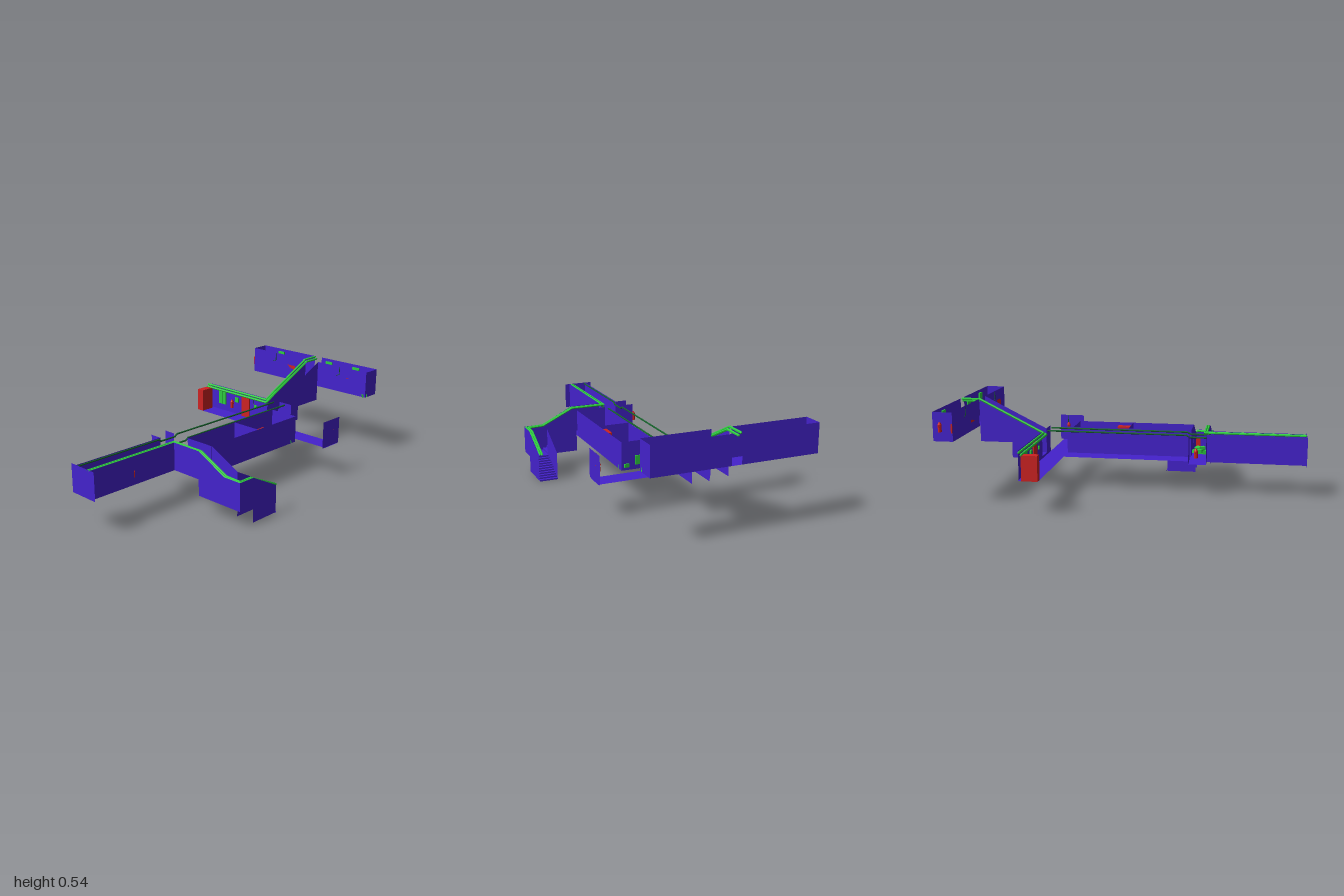
import * as THREE from 'three';

const mat = (color, side = THREE.FrontSide) => new THREE.MeshStandardMaterial({ color, side, flatShading: true });

export function createModel() {
  const root = new THREE.Group();
  const shell = mat(0x4422cc, THREE.DoubleSide);
  const green = mat(0x2ecc40), darkGreen = mat(0x14602a), red = mat(0xcc2222);

  const add = (name, geo, m, x = 0, y = 0, z = 0) => {
    const mesh = new THREE.Mesh(geo, m);
    mesh.name = name;
    mesh.position.set(x, y, z);
    root.add(mesh);
    return mesh;
  };
  const outline = (pts) => new THREE.ShapeGeometry(new THREE.Shape(pts.map(([a, b]) => new THREE.Vector2(a, b))));

  // Thin wall across x, given as an (x, y) outline at one z
  const wallX = (name, z, pts) => add(name, outline(pts), shell, 0, 0, z);
  // Thin wall along z, given as a (z, y) outline at one x
  const wallZ = (name, x, pts) => {
    const g = outline(pts.map(([z, y]) => [-z, y]));
    g.rotateY(Math.PI / 2);
    return add(name, g, shell, x, 0, 0);
  };
  const rect = (a, b, y0, y1) => [[a, y0], [b, y0], [b, y1], [a, y1]];
  const floor = (name, x0, x1, z0, z1, y) => {
    const g = new THREE.PlaneGeometry(x1 - x0, z1 - z0);
    g.rotateX(-Math.PI / 2);
    return add(name, g, shell, (x0 + x1) / 2, y, (z0 + z1) / 2);
  };
  const box = (name, m, x0, x1, y0, y1, z0, z1) =>
    add(name, new THREE.BoxGeometry(x1 - x0, y1 - y0, z1 - z0), m, (x0 + x1) / 2, (y0 + y1) / 2, (z0 + z1) / 2);

  // Staircase of treads and risers: a runs along the flight, across spans the width
  const stairs = (name, axis, a0, a1, y0, y1, c0, c1, n) => {
    const pos = [], index = [];
    const put = (a, y) => [c0, c1].forEach((c) => pos.push(...(axis === 'x' ? [a, y, c] : [c, y, a])));
    for (let i = 0; i <= n; i++) {
      const a = a0 + ((a1 - a0) * i) / n;
      put(a, y0 + ((y1 - y0) * i) / n);
      if (i < n) put(a, y0 + ((y1 - y0) * (i + 1)) / n);
    }
    for (let k = 0; k < 2 * n; k++) {
      const b = 2 * k;
      index.push(b, b + 1, b + 2, b + 1, b + 3, b + 2);
    }
    const g = new THREE.BufferGeometry();
    g.setAttribute('position', new THREE.Float32BufferAttribute(pos, 3));
    g.setIndex(index);
    g.computeVertexNormals();
    add(name, g, shell);
  };

  // Pipe with straight runs between corner points
  const pipe = (name, m, r, pts) => {
    const v = pts.map((p) => new THREE.Vector3(...p));
    const path = new THREE.CurvePath();
    for (let i = 1; i < v.length; i++) path.add(new THREE.LineCurve3(v[i - 1], v[i]));
    path.curves.forEach((c) => add(name, new THREE.TubeGeometry(c, 1, r, 6), m));
    v.forEach((p) => add(name + 'Joint', new THREE.SphereGeometry(r, 6, 4), m, p.x, p.y, p.z));
  };

  const F = 0.19, T = 0.348;

  // Main corridor
  floor('mainFloor', -0.01, 0.1, -0.41, 0.99, F);
  wallZ('mainRightWall', 0.1, rect(0.43, 0.99, F, T));
  wallZ('mainLeftWall', -0.01, rect(0.43, 0.99, F, T));
  wallX('mainEndWall', 0.99, rect(-0.05, 0.13, F, T));

  // Side rooms
  floor('roomFloor', 0.1, 0.28, -0.37, 0.33, F);
  wallZ('roomOuterWall', 0.28, rect(-0.37, 0.33, F, T));
  wallZ('roomInnerWall', 0.1, rect(-0.41, 0.33, F, T));
  [-0.37, -0.04, 0.33].forEach((z) => wallX('roomCrossWall', z, rect(0.1, 0.28, F, T)));

  // Middle cross corridor
  floor('crossFloor', -0.57, 0.47, -0.52, -0.41, F);
  wallX('crossBackWall', -0.52, rect(-0.555, -0.07, F, T));
  wallX('crossBackStub', -0.52, rect(0.03, 0.12, F, T));
  wallZ('crossEndWall', 0.467, rect(-0.54, -0.39, F, T));

  // Upper flight and back corridor
  stairs('upperStairs', 'z', -0.52, -0.89, F, 0.373, -0.07, 0.03, 14);
  const climb = [[-0.52, F], [-0.7, F], [-0.7, 0.28], [-0.89, 0.28], [-0.89, 0.532], [-0.52, T]];
  [-0.07, 0.03].forEach((x) => wallZ('upperStairWall', x, climb));
  floor('backFloor', -0.51, 0.4, -1, -0.89, 0.373);
  wallX('backFrontWallRight', -0.89, rect(-0.51, -0.08, 0.373, 0.532));
  wallX('backFrontWallLeft', -0.89, rect(0.03, 0.4, 0.373, 0.532));
  wallX('backRearWallRight', -1, rect(-0.51, -0.08, 0.373, 0.532));
  wallX('backRearWallLeft', -1, rect(-0.024, 0.4, 0.373, 0.532));
  [-0.51, 0.4].forEach((x) => wallZ('backEndWall', x, rect(-1, -0.89, 0.373, 0.532)));

  // Front branch with the two lower flights
  floor('branchFloor', -0.08, 0.28, 0.33, 0.43, F);
  wallX('branchStub', 0.43, rect(-0.08, -0.01, F, T));
  wallX('branchStubBack', 0.33, rect(-0.08, -0.01, F, T));
  wallX('branchFrontWall', 0.43, rect(0.1, 0.285, F, T));
  const descent = [[0.285, 0.097], [0.47, 0.097], [0.47, 0.255], [0.285, T]];
  [0.33, 0.43].forEach((z) => wallX('lowerStairWall', z, descent));
  stairs('lowerStairs', 'x', 0.47, 0.285, 0.097, F, 0.43, 0.33, 8);
  floor('landing', 0.47, 0.58, 0.33, 0.43, 0.097);
  wallX('landingFrontWall', 0.43, rect(0.47, 0.58, 0.097, 0.255));
  const lowerSide = [[0.15, 0.004], [0.33, 0.004], [0.33, 0.255], [0.15, 0.16]];
  wallZ('bottomInnerWall', 0.47, lowerSide);
  wallZ('bottomOuterWall', 0.58, lowerSide);
  wallZ('landingEndWall', 0.58, rect(0.33, 0.43, 0.097, 0.255));
  stairs('bottomStairs', 'z', 0.145, 0.33, 0, 0.097, 0.47, 0.58, 11);

  // Paired green pipes along the upper edges
  for (const d of [0, 0.012]) {
    pipe('crossPipe', green, 0.007, [[-0.575, 0.342 - d, -0.51 + d], [-0.073 + d, 0.342 - d, -0.51 + d],
      [-0.073 + d, 0.53 - d, -0.885], [-0.073 + d, 0.53 - d, -0.99]]);
    pipe('branchPipe', green, 0.006, [[0.088 - d, 0.342, 0.985], [0.088 - d, 0.342, 0.422 - d], [0.285, 0.342, 0.422 - d],
      [0.47, 0.253, 0.422 - d], [0.572 - d, 0.25, 0.422 - d], [0.572 - d, 0.25, 0.33], [0.572 - d, 0.162, 0.145]]);
  }
  // Thin dark lines along the main corridor, dipping at the branch
  for (const x of [-0.004, 0.083])
    pipe('conduit', darkGreen, 0.005, [[x, 0.342, 0.985], [x, 0.342, 0.45], [x, 0.33, 0.43], [x, 0.33, 0.33],
      [x, 0.342, 0.31], [x, 0.342, -0.5]]);

  // Doors and red lockers
  box('endDoorFrame', red, -0.577, -0.533, F, 0.328, -0.5, -0.412);
  box('crossDoor', red, -0.28, -0.215, 0.187, 0.325, -0.518, -0.51);
  box('roomLocker', red, 0.237, 0.279, F, 0.33, -0.13, -0.045);
  box('landingDoor', red, 0.565, 0.578, 0.1, 0.2, 0.31, 0.35);

  // Fire extinguishers: body, neck and hose ring
  const extinguisher = (x, y, z) => {
    add('extinguisherBody', new THREE.CylinderGeometry(0.011, 0.011, 0.04, 8), red, x, y, z);
    add('extinguisherNeck', new THREE.CylinderGeometry(0.004, 0.011, 0.014, 8), red, x, y + 0.027, z);
    add('extinguisherHose', new THREE.TorusGeometry(0.012, 0.002, 4, 8), red, x, y + 0.012, z);
  };
  [[-0.36, 0.248, -0.507], [-0.105, 0.255, 0.375], [0.455, 0.27, -0.485], [0.09, 0.25, 0.71], [0.007, 0.44, -0.988],
    [-0.512, 0.445, -0.96]].forEach((p) => extinguisher(...p));
  [-0.48, -0.19, 0.29].forEach((x) => box('redWallBox', red, x - 0.035, x + 0.035, 0.42, 0.47, -0.898, -0.89));

  // Green cabinets and notices
  box('cabinetA', green, -0.476, -0.449, 0.235, 0.323, -0.519, -0.507);
  box('cabinetB', green, -0.447, -0.42, 0.235, 0.323, -0.519, -0.507);
  box('notice', green, -0.34, -0.31, 0.27, 0.3, -0.519, -0.511);
  box('smallNotice', green, -0.172, -0.153, 0.267, 0.285, -0.519, -0.511);
  box('hangingNotice', green, 0.17, 0.22, 0.23, 0.28, -0.414, -0.408);
  for (const x of [-0.36, 0.04, 0.25]) box('rearPanel', green, x - 0.025, x + 0.025, 0.475, 0.515, -0.998, -0.99);
  for (const z of [0.53, 0.86]) box('sidePanel', green, 0.09, 0.098, 0.26, 0.31, z - 0.025, z + 0.025);

  // Short cables on the walls
  for (const x of [-0.317, 0.203])
    pipe('wallCable', darkGreen, 0.002, [[x, 0.53, -0.886], [x, 0.483, -0.886], [x - 0.022, 0.475, -0.886]]);
  pipe('wallCable', darkGreen, 0.002, [[-0.18, 0.34, -0.51], [-0.18, 0.295, -0.51], [-0.165, 0.285, -0.51]]);
  pipe('wallCable', darkGreen, 0.002, [[0.465, 0.345, -0.49], [0.465, 0.29, -0.49], [0.455, 0.27, -0.49]]);

  // Rubble heaps of small green blocks
  const heap = (x, y, z, n) => {
    for (let i = 0; i < n; i++) {
      const a = i * 2.4, r = 0.012 * Math.sqrt(i);
      const b = add('rubble', new THREE.BoxGeometry(0.03, 0.02, 0.028), green, x + r * Math.cos(a), y + 0.01 + 0.008 * (i % 3), z + r * Math.sin(a));
      b.rotation.set(0, a, 0.2 * (i % 2));
    }
  };
  heap(0.2, F, 0.375, 9);
  heap(0.25, F, -0.345, 4);
  heap(0.37, 0.373, -0.92, 4);

  return root;
}
